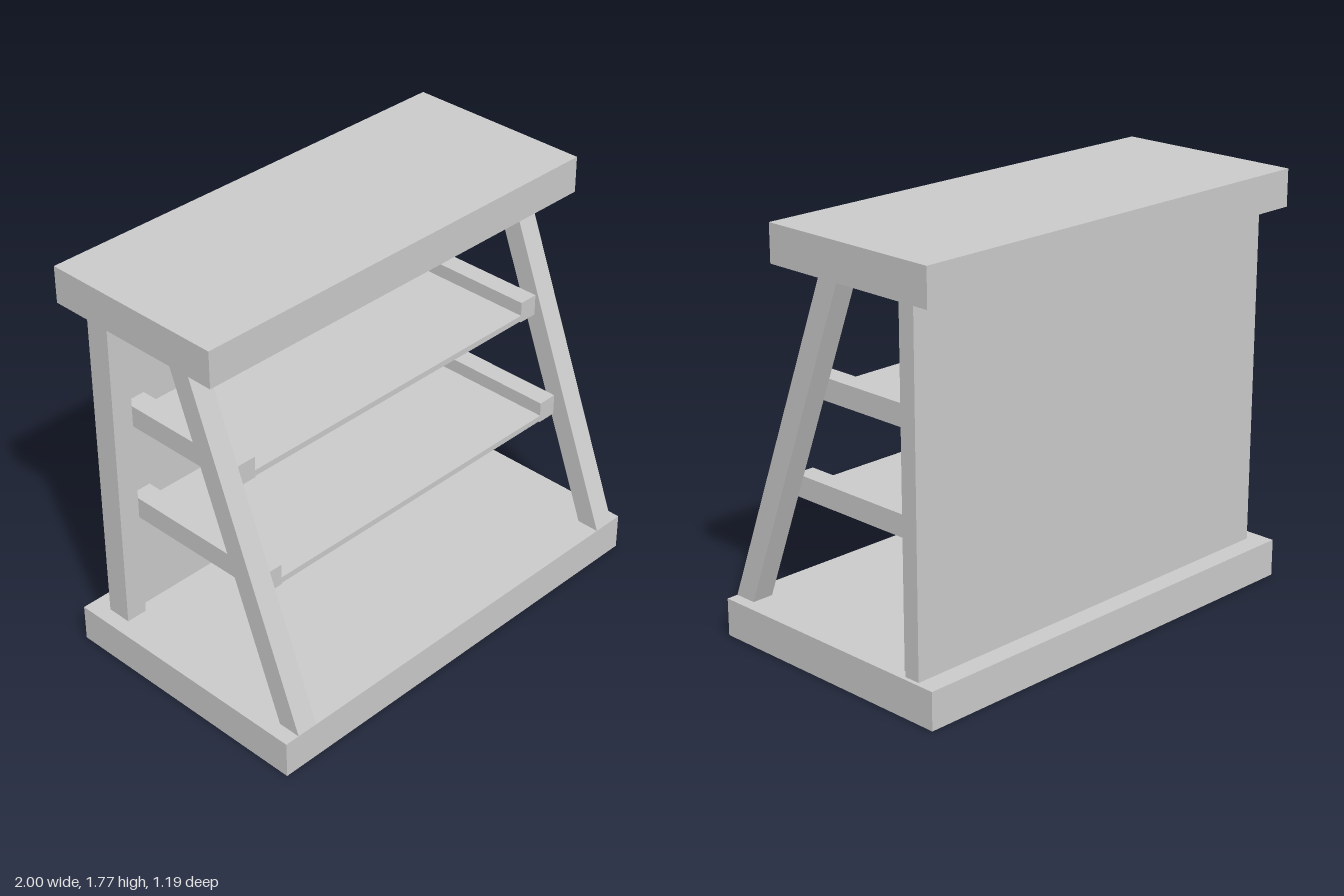
import * as THREE from 'three';

const material = new THREE.MeshStandardMaterial({ color: 0xcccccc, flatShading: true });

// Box given by its minimum and maximum on each axis
function box(name, [x0, x1], [y0, y1], [z0, z1]) {
  const mesh = new THREE.Mesh(new THREE.BoxGeometry(x1 - x0, y1 - y0, z1 - z0), material);
  mesh.position.set((x0 + x1) / 2, (y0 + y1) / 2, (z0 + z1) / 2);
  mesh.name = name;
  return mesh;
}

// Slanted leg: side profile in (z, y), extruded across x
function slantedLeg(name, [x0, x1], profile) {
  const shape = new THREE.Shape(profile.map(([z, y]) => new THREE.Vector2(-z, y)));
  const geometry = new THREE.ExtrudeGeometry(shape, { depth: x1 - x0, bevelEnabled: false });
  geometry.rotateY(Math.PI / 2);
  geometry.translate(x0, 0, 0);
  const mesh = new THREE.Mesh(geometry, material);
  mesh.name = name;
  return mesh;
}

export function createModel() {
  const model = new THREE.Group();
  model.name = 'shelfStand';

  const baseTop = 0.16, slabBottom = 1.61;
  const panelFront = -0.43;

  // Base, top slab and back panel
  model.add(box('base', [-0.997, 0.997], [0, baseTop], [-0.588, 0.588]));
  model.add(box('topSlab', [-0.997, 0.997], [slabBottom, 1.767], [-0.588, 0.245]));
  model.add(box('backPanel', [-0.932, 0.98], [baseTop, slabBottom], [-0.5, panelFront]));

  // Rear posts and slanted front legs
  const sides = [['right', [-0.932, -0.838]], ['left', [0.852, 0.947]]];
  const legProfile = [[0.588, baseTop], [0.487, baseTop], [-0.07, slabBottom], [0.03, slabBottom]];
  for (const [side, xRange] of sides) {
    model.add(box(side + 'Post', xRange, [baseTop, slabBottom], [panelFront, -0.39]));
    model.add(slantedLeg(side + 'Leg', xRange, legProfile));
  }

  // Two shelves, each held between a pair of rails
  const levels = [['lower', 0.635, 0.315], ['upper', 1.07, 0.187]];
  for (const [level, y, front] of levels) {
    const depth = [panelFront, front];
    model.add(box(level + 'RightRail', [-0.838, -0.742], [y, y + 0.093], depth));
    model.add(box(level + 'LeftRail', [0.765, 0.852], [y, y + 0.093], depth));
    model.add(box(level + 'Shelf', [-0.742, 0.765], [y + 0.006, y + 0.032], depth));
  }

  // The whole stand is turned very slightly
  model.rotation.y = -0.005;
  const group = new THREE.Group();
  group.add(model);
  return group;
}
